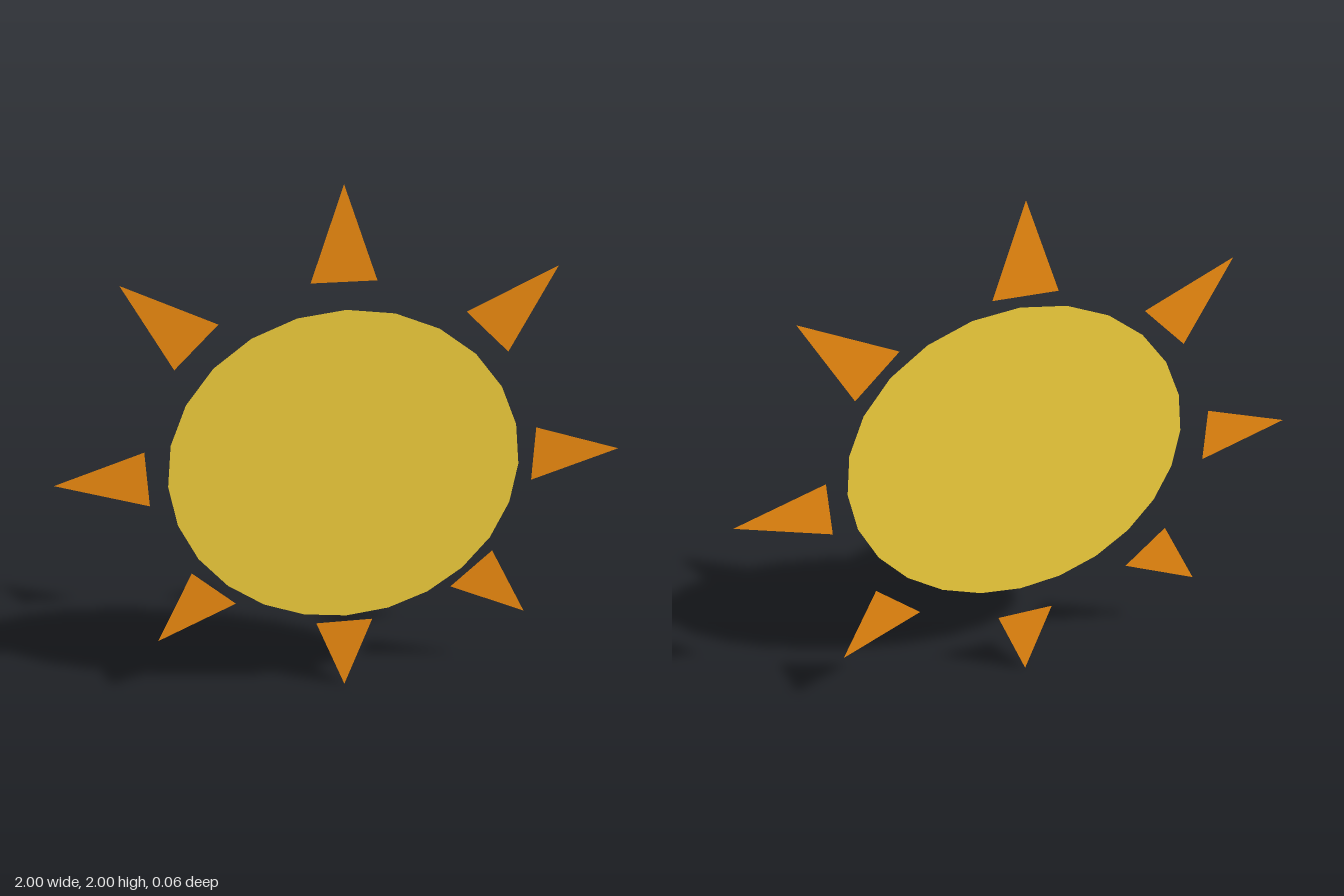
import * as THREE from 'three';

export function createModel() {
  const group = new THREE.Group();
  const discMat = new THREE.MeshStandardMaterial({ color: 0xfdd93f, side: THREE.DoubleSide });
  const rayMat = new THREE.MeshStandardMaterial({ color: 0xfb9312, side: THREE.DoubleSide });

  // Flat sun disc, slightly in front of the rays
  const disc = new THREE.Mesh(new THREE.CircleGeometry(0.613, 24), discMat);
  disc.name = 'sunDisc';
  disc.position.set(0, 1, 0.029);
  group.add(disc);

  // Eight flat triangular rays around the disc
  const shape = new THREE.Shape([
    new THREE.Vector2(-0.108, 0.685),
    new THREE.Vector2(0.108, 0.685),
    new THREE.Vector2(0, 1),
  ]);
  const rayGeo = new THREE.ShapeGeometry(shape);
  const rays = new THREE.Group();
  rays.name = 'rays';
  rays.position.set(0, 1, -0.029);
  for (let i = 0; i < 8; i++) {
    const ray = new THREE.Mesh(rayGeo, rayMat);
    ray.name = 'ray' + (i + 1);
    ray.rotation.z = (i * Math.PI) / 4;
    rays.add(ray);
  }
  group.add(rays);
  return group;
}
